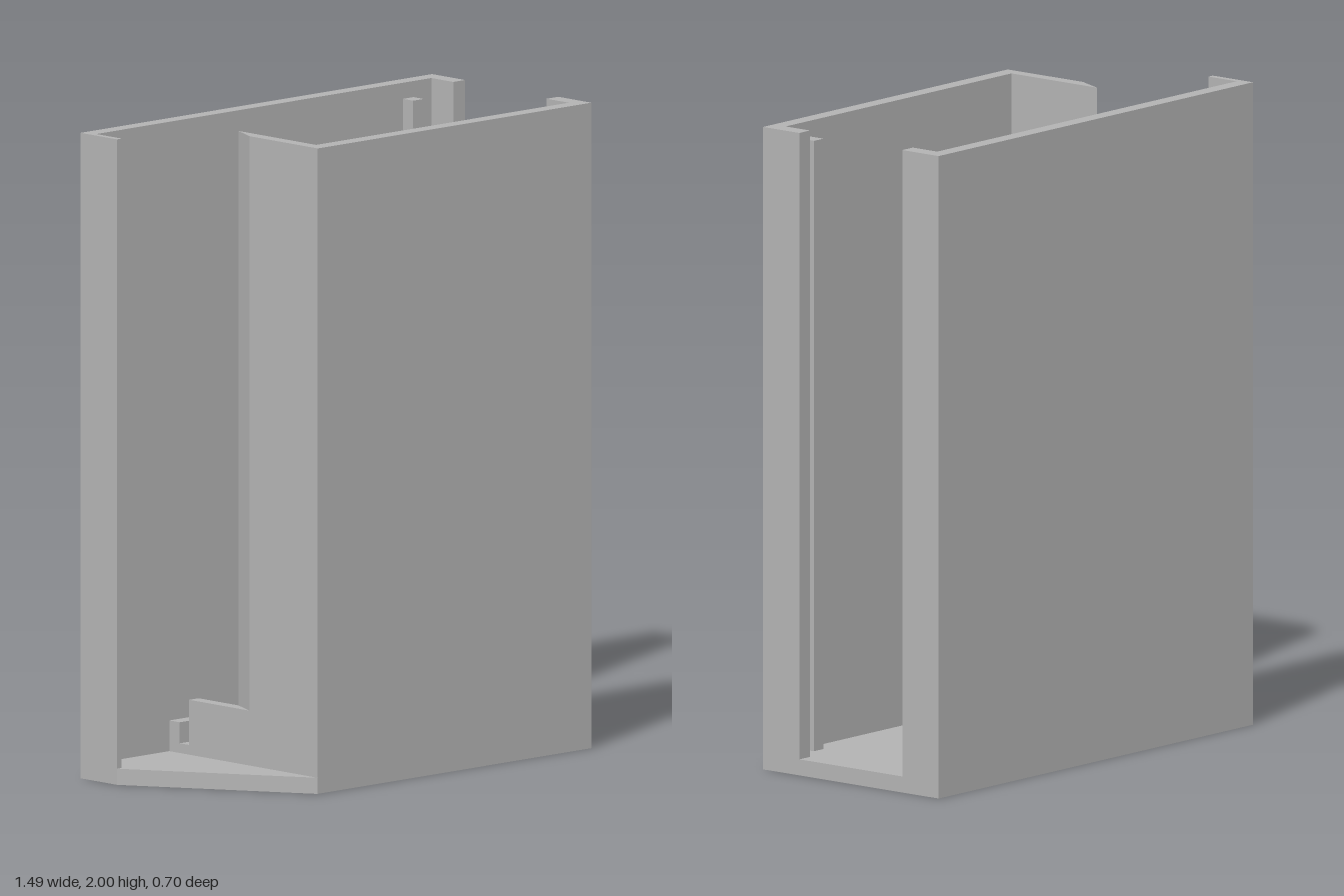
import * as THREE from 'three';

export function createModel() {
  const group = new THREE.Group();
  const grey = new THREE.MeshStandardMaterial({ color: 0xb2b2b2 });
  grey.name = 'plain grey';

  // Raises a plan outline of [x, z] points from y0 to y1
  function prism(name, points, y0, y1) {
    const shape = new THREE.Shape(points.map(([x, z]) => new THREE.Vector2(x, -z)));
    const geometry = new THREE.ExtrudeGeometry(shape, { depth: y1 - y0, bevelEnabled: false });
    geometry.rotateX(-Math.PI / 2).translate(0, y0, 0);
    const mesh = new THREE.Mesh(geometry, grey);
    mesh.name = name;
    group.add(mesh);
  }
  const rect = (x0, x1, z0, z1) => [[x0, z0], [x1, z0], [x1, z1], [x0, z1]];

  const floorY = 0.05, top = 2;

  // Base plate with one slanted corner
  prism('basePlate', [[-0.745, -0.35], [0.745, -0.35], [0.745, 0.35], [-0.415, 0.35], [-0.745, -0.19]], 0, floorY);

  // Back wall with short returns at both ends
  prism('backWall', [
    [-0.745, -0.35], [0.745, -0.35], [0.745, -0.205], [0.695, -0.205],
    [0.695, -0.302], [-0.725, -0.302], [-0.725, -0.19], [-0.745, -0.19],
  ], floorY, top);

  // Front wall with its end return and the side panel ending in a slanted edge
  prism('frontWall', [
    [-0.415, 0.35], [0.745, 0.35], [0.745, 0.205], [0.695, 0.205],
    [0.695, 0.302], [-0.375, 0.302], [-0.375, -0.04], [-0.415, 0.05],
  ], floorY, top);

  // Low sill closing the bottom of the side opening
  prism('lowSill', [[-0.415, 0.05], [-0.375, -0.04], [-0.375, -0.215], [-0.415, -0.215]], floorY, 0.22);

  // Guide channel beside the back wall: two rails and a raised slot floor
  prism('backGuideRail', rect(-0.415, -0.295, -0.302, -0.257), floorY, 0.145);
  prism('slotFloor', rect(-0.415, -0.295, -0.257, -0.215), floorY, 0.08);
  prism('frontGuideRail', rect(-0.375, -0.295, -0.215, -0.167), floorY, 0.145);

  // Upright ribs forming a slot behind the end returns
  prism('backRib', rect(0.575, 0.62, -0.302, -0.257), floorY, 1.95);
  prism('frontRib', rect(0.575, 0.62, 0.252, 0.302), floorY, 1.95);

  return group;
}
